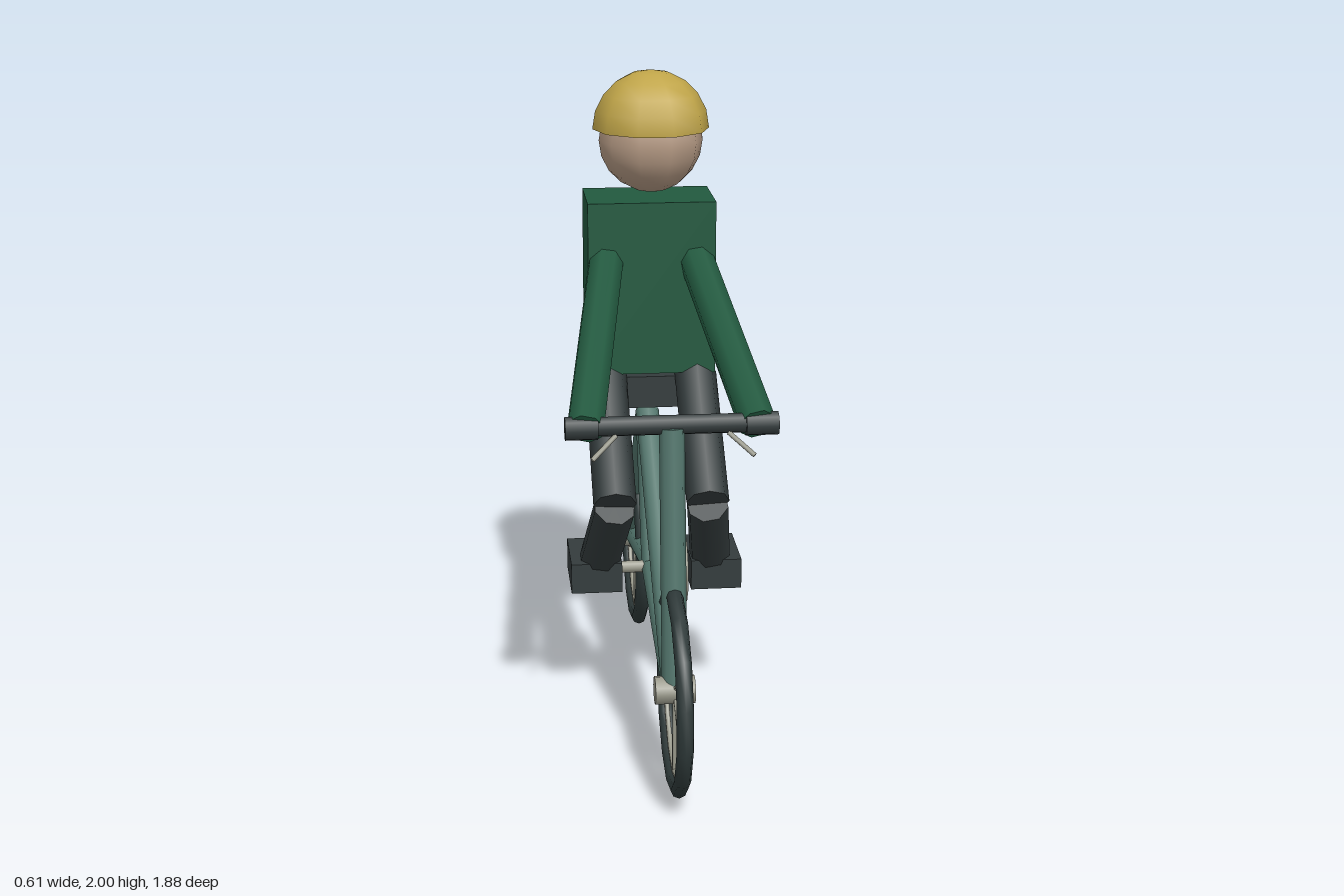
import * as THREE from 'three';

export function createModel() {
  const model = new THREE.Group();
  model.name = 'cyclist';

  const material = (name, color, side = THREE.FrontSide) => {
    const m = new THREE.MeshStandardMaterial({ color, side });
    m.name = name;
    return m;
  };
  const frame = material('frame teal', 0x54776e);
  const dark = material('dark grey', 0x343c3d);
  const rubber = material('tyre black', 0x2f3a3a);
  const metal = material('metal grey', 0x98988a);
  const shirt = material('shirt green', 0x22593f);
  const skin = material('skin', 0xb59a84);
  const helmetYellow = material('helmet yellow', 0xc0a549, THREE.DoubleSide);

  const add = (name, geometry, mat, x = 0, y = 0, z = 0, parent = model) => {
    const mesh = new THREE.Mesh(geometry, mat);
    mesh.name = name;
    mesh.position.set(x, y, z);
    parent.add(mesh);
    return mesh;
  };

  // Round bar running between two points
  const UP = new THREE.Vector3(0, 1, 0);
  const bar = (name, a, b, radius, mat, sides = 8, parent = model) => {
    const from = new THREE.Vector3(...a);
    const to = new THREE.Vector3(...b);
    const dir = to.clone().sub(from);
    const mid = from.clone().add(to).multiplyScalar(0.5);
    const mesh = add(name, new THREE.CylinderGeometry(radius, radius, dir.length(), sides),
      mat, mid.x, mid.y, mid.z, parent);
    mesh.quaternion.setFromUnitVectors(UP, dir.normalize());
    return mesh;
  };

  // Ring standing in the plane of the wheels
  const ring = (name, radius, tube, tubeSides, sides, mat, x, y, z, parent = model) => {
    const geometry = new THREE.TorusGeometry(radius, tube, tubeSides, sides);
    geometry.rotateZ(Math.PI / 2).rotateY(Math.PI / 2);
    return add(name, geometry, mat, x, y, z, parent);
  };

  // Key points of the bicycle
  const axleY = 0.315;
  const front = [0, axleY, 0.64];
  const rear = [0, axleY, -0.64];
  const crank = [0, 0.447, 0];
  const saddle = [0, 0.9, -0.2];
  const steer = [0, 1.08, 0.55];

  // Wheels: tyre, rim, three full-width spokes and a hub
  for (const [name, p] of [['frontWheel', front], ['rearWheel', rear]]) {
    const wheel = new THREE.Group();
    wheel.name = name;
    wheel.position.set(...p);
    model.add(wheel);
    ring('tyre', 0.286, 0.024, 8, 14, rubber, 0, 0, 0, wheel);
    ring('rim', 0.259, 0.008, 6, 14, metal, 0, 0, 0, wheel);
    for (let i = 0; i < 3; i++) {
      const a = Math.PI / 2 + i * Math.PI / 3;
      const y = Math.sin(a) * 0.26, z = Math.cos(a) * 0.26;
      bar('spoke', [0, -y, -z], [0, y, z], 0.007, metal, 6, wheel);
    }
    bar('hub', [-0.058, 0, 0], [0.058, 0, 0], 0.041, metal, 12, wheel);
  }

  // Frame tubes
  bar('steeringTube', front, steer, 0.037, frame);
  bar('lowerFrontTube', front, crank, 0.037, frame);
  bar('lowerRearTube', crank, rear, 0.037, frame);
  bar('topTube', front, saddle, 0.037, frame);
  bar('seatStay', saddle, rear, 0.037, frame);
  bar('seatTube', saddle, crank, 0.037, frame);
  bar('seatPost', [0, 0.86, -0.2], [0, 0.97, -0.2], 0.025, frame);
  add('seat', new THREE.BoxGeometry(0.31, 0.1, 0.3), dark, 0, 0.998, -0.222);

  // Drive: axle, chainring, sprocket and the two chain runs
  const chainX = 0.092;
  bar('pedalAxle', [-0.13, crank[1], 0], [0.13, crank[1], 0], 0.02, metal);
  ring('chainring', 0.116, 0.008, 6, 16, metal, chainX, crank[1], 0);
  ring('sprocket', 0.046, 0.008, 6, 16, metal, chainX, axleY, -0.64);
  for (const s of [1, -1]) {
    bar('chain', [chainX, crank[1] + s * 0.116, -0.01], [chainX, axleY + s * 0.046, -0.645],
      0.007, metal, 6);
  }

  // Handlebar
  bar('handlebar', [-0.29, 1.087, 0.543], [0.29, 1.087, 0.543], 0.029, dark);

  // Mirrored parts
  for (const s of [1, -1]) {
    const side = s > 0 ? 'left' : 'right';
    bar(side + 'Grip', [s * 0.21, 1.085, 0.547], [s * 0.303, 1.085, 0.547], 0.035, dark);
    bar(side + 'BrakeLever', [s * 0.16, 1.065, 0.56], [s * 0.23, 1.008, 0.602], 0.008, metal, 6);
    bar(side + 'Arm', [s * 0.137, 1.425, -0.07], [s * 0.245, 1.082, 0.545], 0.055, shirt);
    bar(side + 'Thigh', [s * 0.14, 1.055, -0.085], [s * 0.14, 0.75, 0.26], 0.065, dark);
    bar(side + 'Shin', [s * 0.14, 0.74, 0.25], [s * 0.178, 0.46, 0.02], 0.064, dark);
    add(side + 'Shoe', new THREE.BoxGeometry(0.157, 0.095, 0.232), dark, s * 0.186, 0.457, 0);
  }

  // Rider's body, head and open-bottomed helmet
  add('torso', new THREE.BoxGeometry(0.39, 0.535, 0.245), shirt, 0, 1.337, -0.156);
  add('head', new THREE.SphereGeometry(0.157, 10, 10), skin, 0, 1.79, -0.077);
  add('helmet', new THREE.SphereGeometry(0.176, 10, 5, 0, Math.PI * 2, 0, Math.PI / 2),
    helmetYellow, 0, 1.824, -0.077);

  return model;
}
